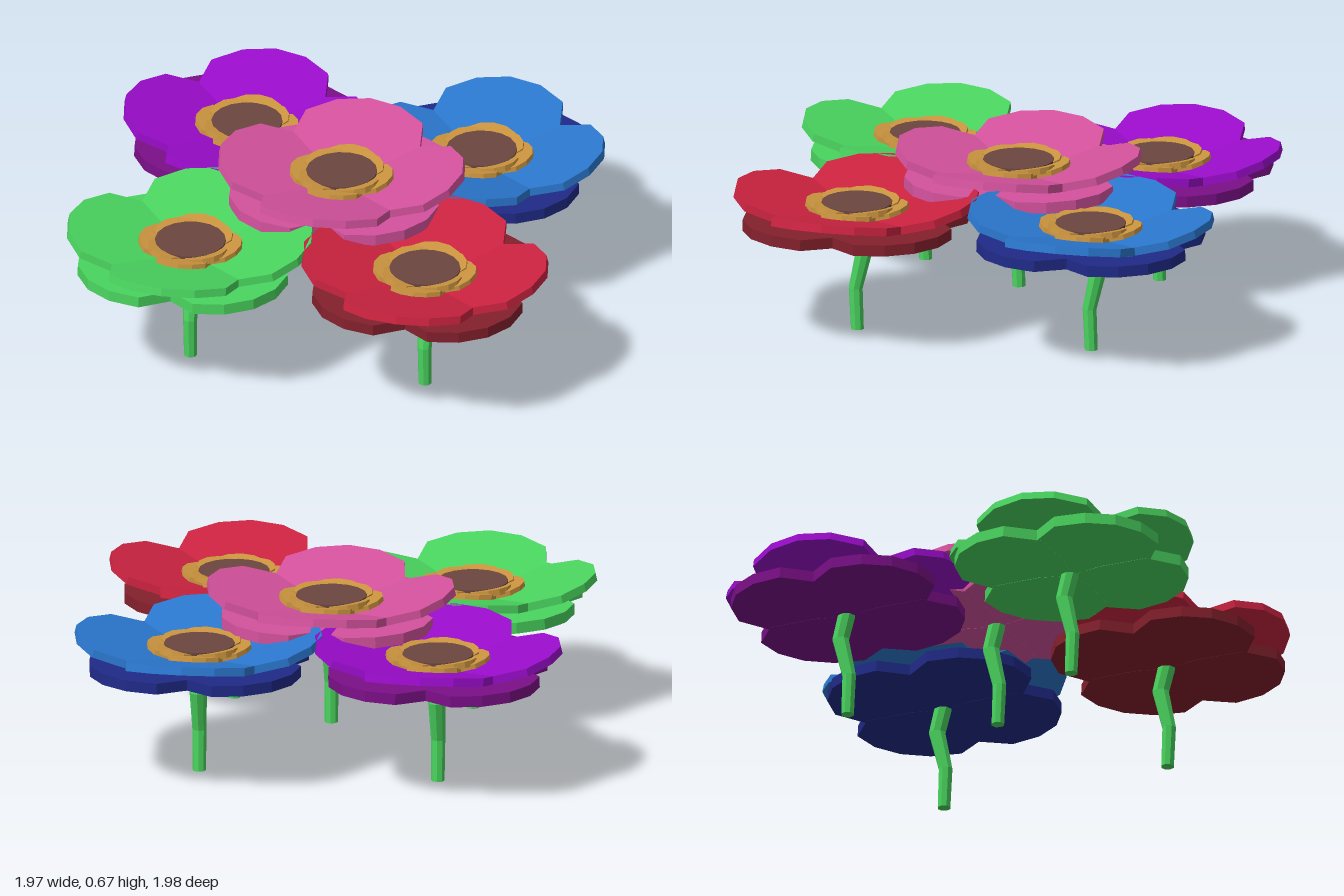
import * as THREE from 'three';

const mat = (name, color) => {
  const m = new THREE.MeshStandardMaterial({ color });
  m.name = name;
  return m;
};

// One petal: rounded outline pointing along +x, extruded upwards, then tilted up at the tip.
function petalGeometry(scale, thickness, tilt) {
  const half = [[0.08, 0.12], [0.24, 0.265], [0.41, 0.24], [0.49, 0.13]];
  const outline = [[0, 0], ...half.map(([r, w]) => [r, -w]), [0.518, 0],
    ...half.slice().reverse().map(([r, w]) => [r, w])];
  const shape = new THREE.Shape(outline.map(([r, w]) => new THREE.Vector2(r * scale, w * scale)));
  const g = new THREE.ExtrudeGeometry(shape, { depth: thickness, bevelEnabled: false });
  g.rotateX(-Math.PI / 2);
  g.rotateZ(tilt);
  return g;
}

// Tapered eight-sided stem, its rings shifted along z to give a bent stalk.
function stemGeometry() {
  const rings = [[0, -0.002, 0.027], [0.17, 0.005, 0.029], [0.335, -0.032, 0.035], [0.46, 0.0, 0.037]];
  const g = new THREE.CylinderGeometry(1, 1, 3, 8, 3);
  const p = g.attributes.position;
  for (let i = 0; i < p.count; i++) {
    const [y, z, r] = rings[Math.round(p.getY(i) + 1.5)];
    p.setXYZ(i, p.getX(i) * r, y, p.getZ(i) * r + z);
  }
  const flat = g.toNonIndexed();
  flat.computeVertexNormals();
  return flat;
}

export function createModel() {
  const green = mat('green', 0x4ad55f);
  const red = mat('red', 0xcc2340);
  const darkRed = mat('dark red', 0x84202c);
  const blue = mat('blue', 0x2b78cf);
  const navy = mat('navy', 0x202a88);
  const purple = mat('purple', 0x9a0ccb);
  const darkPurple = mat('dark purple', 0x7b0f88);
  const pink = mat('pink', 0xd4529d);
  const orange = mat('orange', 0xcc953f);
  const brown = mat('brown', 0x6d4640);

  const upper = petalGeometry(1, 0.033, 0.235);
  const lower = petalGeometry(0.93, 0.045, 0.03);
  const collarOuter = petalGeometry(0.42, 0.025, 0.2);
  const collarInner = petalGeometry(0.36, 0.025, 0.2);
  const heart = new THREE.CylinderGeometry(0.142, 0.142, 0.05, 18);
  const stem = stemGeometry();

  const add = (parent, name, geometry, material, y = 0, turn = 0) => {
    const m = new THREE.Mesh(geometry, material);
    m.name = name;
    m.position.y = y;
    m.rotation.y = turn;
    parent.add(m);
  };

  function flower(name, top, under, x, y, z) {
    const f = new THREE.Group();
    f.name = name;
    f.position.set(x, y, z);
    add(f, 'stem', stem, green);
    for (let i = 0; i < 4; i++) {
      const a = i * Math.PI / 2, d = a + Math.PI / 4;
      add(f, 'lowerPetal', lower, under, 0.432, d);
      add(f, 'upperPetal', upper, top, 0.432, a);
      add(f, 'collarPetal', collarOuter, orange, 0.467, a);
      add(f, 'innerCollarPetal', collarInner, orange, 0.478, d);
    }
    add(f, 'flowerHeart', heart, brown, 0.508);
    return f;
  }

  const model = new THREE.Group();
  model.name = 'flowers';
  model.add(
    flower('greenFlower', green, green, -0.482, 0, 0.485),
    flower('redFlower', red, darkRed, 0.482, 0, 0.485),
    flower('purpleFlower', purple, darkPurple, -0.482, 0, -0.49),
    flower('blueFlower', blue, navy, 0.482, 0, -0.49),
    flower('pinkFlower', pink, pink, 0.012, 0.085, -0.05)
  );
  return model;
}
